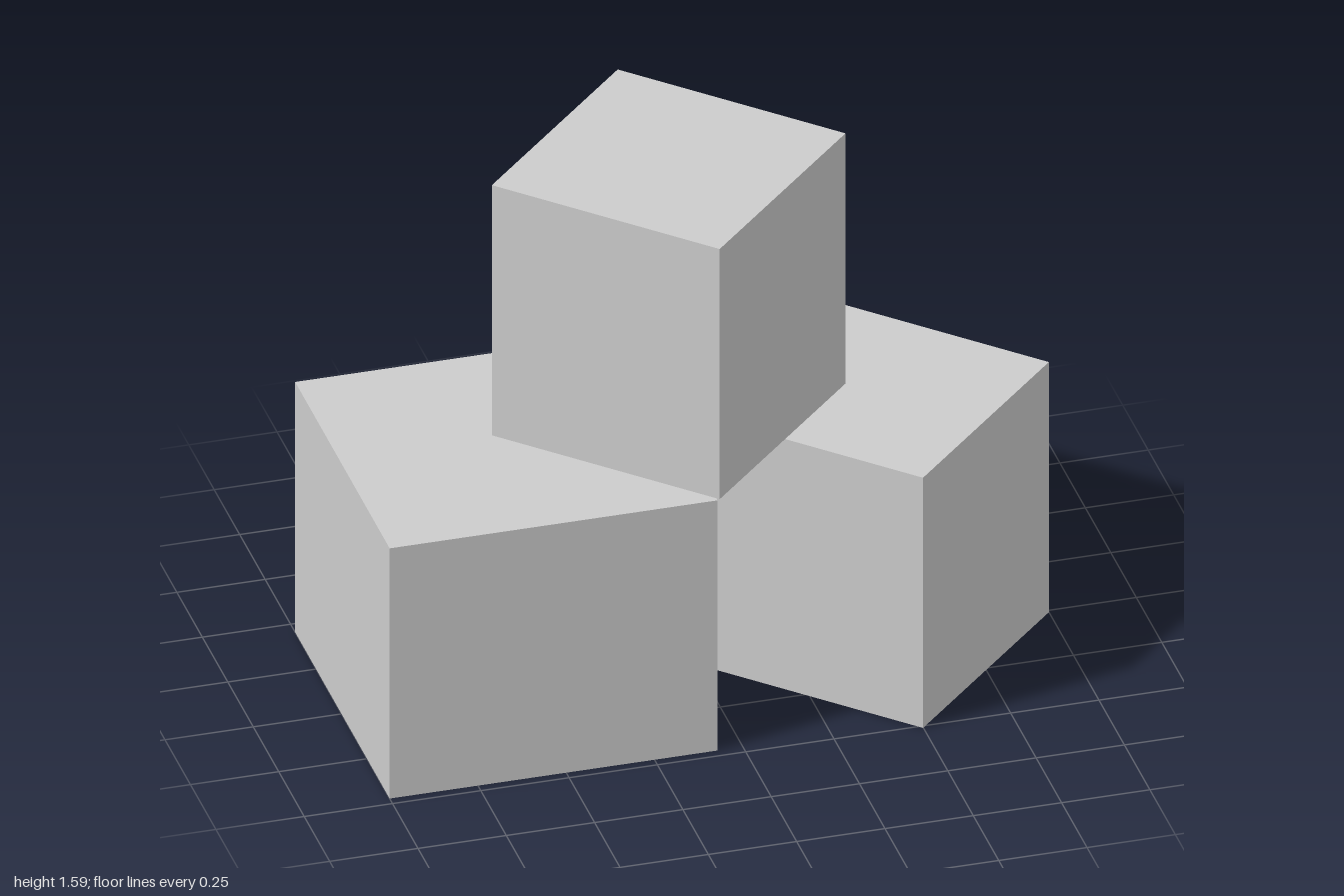
import * as THREE from 'three';

export function createModel() {
  const model = new THREE.Group();
  const grey = new THREE.MeshStandardMaterial({ color: 0xcccccc });
  grey.name = 'light grey';

  const height = 0.79;

  // A square block standing on the given base height, turned about y
  function addBlock(name, side, x, base, z, turn) {
    const block = new THREE.Mesh(new THREE.BoxGeometry(side, height, side), grey);
    block.name = name;
    block.position.set(x, base + height / 2, z);
    block.rotation.y = turn;
    model.add(block);
  }

  // Two blocks on the ground, one stacked above with a thin gap
  addBlock('wideBlock', 0.928, -0.536, 0, 0.008, 0);
  addBlock('cornerBlock', 0.708, 0.499, 0, 0.01, Math.PI / 4);
  addBlock('topBlock', 0.708, -0.071, 0.804, -0.01, Math.PI / 4);

  return model;
}
